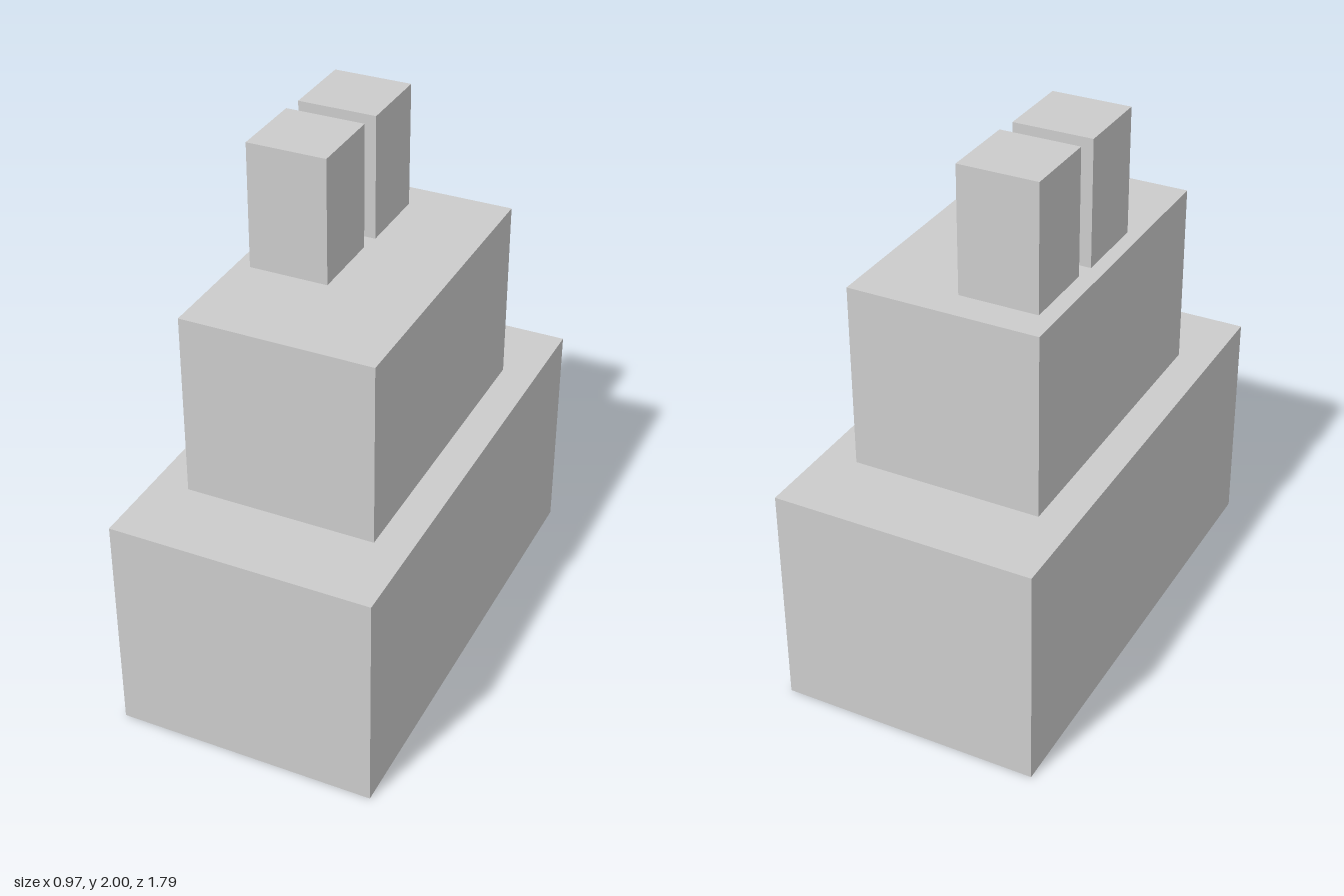
import * as THREE from 'three';

const material = new THREE.MeshStandardMaterial({ color: 0xcccccc, flatShading: true });

// Box standing on height y, centred on x and z
function block(name, width, height, depth, x, y, z) {
  const mesh = new THREE.Mesh(new THREE.BoxGeometry(width, height, depth), material);
  mesh.name = name;
  mesh.position.set(x, y + height / 2, z);
  return mesh;
}

export function createModel() {
  const group = new THREE.Group();
  group.name = 'steppedBuilding';

  const baseTop = 0.845, middleTop = 1.533, towerSize = 0.293;

  // Two stepped tiers
  group.add(block('baseTier', 0.968, baseTop, 1.795, 0, 0, 0));
  group.add(block('middleTier', 0.706, middleTop - baseTop, 1.18, 0, baseTop, 0));

  // Pair of square towers on the right half of the roof
  const towers = [['frontTower', -0.153, 0.043], ['backTower', -0.143, -0.321]];
  for (const [name, x, z] of towers) {
    group.add(block(name, towerSize, 2 - middleTop, towerSize, x, middleTop, z));
  }
  return group;
}
